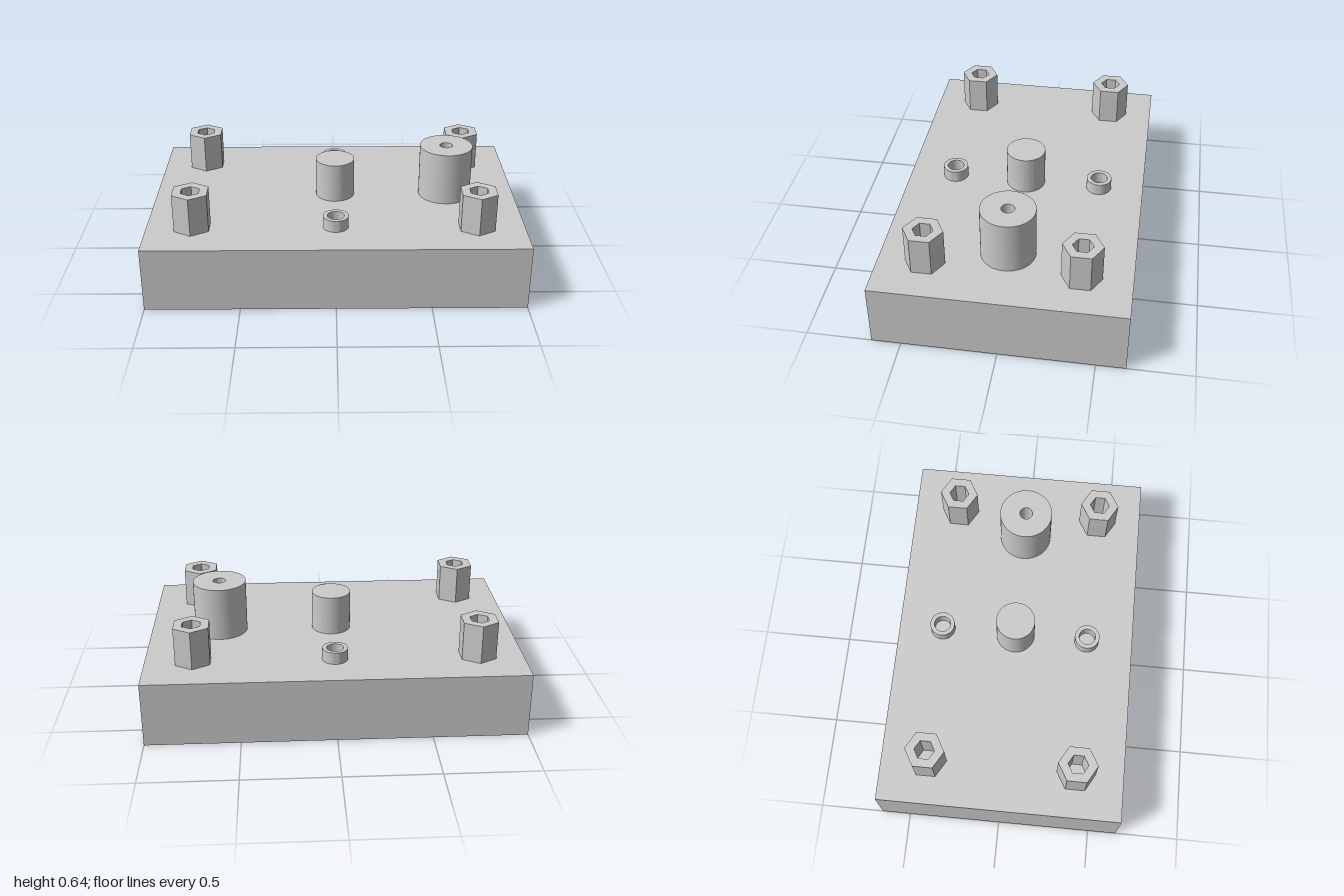
import * as THREE from 'three';
import { toCreasedNormals } from 'three/addons/utils/BufferGeometryUtils.js';

const BASE_TOP = 0.35;
const material = new THREE.MeshStandardMaterial({ color: 0xcccccc });

// Closed regular outline with a corner pointing along z
function outline(target, radius, sides) {
  const points = [];
  for (let i = 0; i < sides; i++) {
    const a = Math.PI / 2 + (i / sides) * Math.PI * 2;
    points.push(new THREE.Vector2(Math.cos(a) * radius, Math.sin(a) * radius));
  }
  return target.setFromPoints(points);
}

// Upright post standing on the base, optionally bored through
function post(radius, holeRadius, top, sides) {
  const shape = outline(new THREE.Shape(), radius, sides);
  if (holeRadius > 0) shape.holes.push(outline(new THREE.Path(), holeRadius, sides));
  const geometry = new THREE.ExtrudeGeometry(shape, { depth: top - BASE_TOP, bevelEnabled: false });
  geometry.rotateX(-Math.PI / 2);
  return toCreasedNormals(geometry, 0.6);
}

export function createModel() {
  const model = new THREE.Group();
  const add = (name, geometry, x, y, z) => {
    const mesh = new THREE.Mesh(geometry, material);
    mesh.name = name;
    mesh.position.set(x, y, z);
    model.add(mesh);
  };

  // Solid rectangular base
  add('base', new THREE.BoxGeometry(2, BASE_TOP, 1.31), 0, BASE_TOP / 2, 0);

  // Hollow hexagonal standoffs near the corners
  const hex = post(0.105, 0.054, 0.56, 6);
  add('backRightStandoff', hex, -0.757, BASE_TOP, -0.404);
  add('frontRightStandoff', hex, -0.757, BASE_TOP, 0.398);
  add('backLeftStandoff', hex, 0.745, BASE_TOP, -0.394);
  add('frontLeftStandoff', hex, 0.745, BASE_TOP, 0.409);

  // Short round bushings
  const bushing = post(0.068, 0.045, 0.415, 48);
  add('backBushing', bushing, 0, BASE_TOP, -0.41);
  add('frontBushing', bushing, 0, BASE_TOP, 0.4);

  // Solid middle post and the larger bored post
  add('centerPost', post(0.106, 0, 0.565, 64), 0, BASE_TOP, 0);
  add('boredPost', post(0.144, 0.035, 0.64, 64), 0.614, BASE_TOP, 0);

  return model;
}
